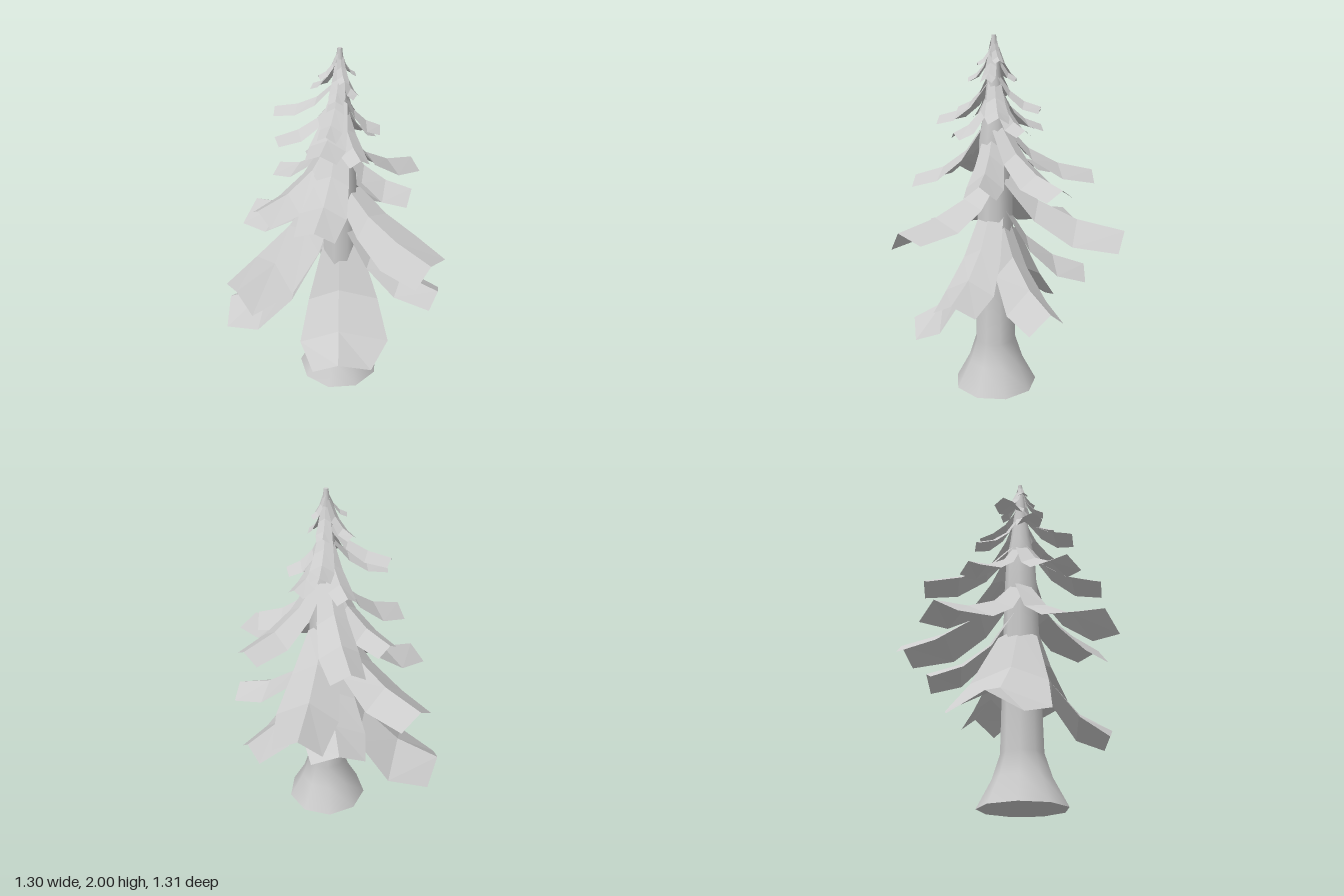
import * as THREE from 'three';

const CX = 0.035, CZ = 0.08; // trunk axis

const bark = new THREE.MeshStandardMaterial({ color: 0xcccccc });
const foliage = new THREE.MeshStandardMaterial({ color: 0xcccccc, flatShading: true, side: THREE.DoubleSide });

// Drooping bough: a ridged strip from the trunk at rootY to the ridge tip (x, y, z).
// Each side of the ridge has its own width and drop; belly widens the middle.
function bough(x, y, z, rootY, wA, wB = wA, dropA = wA * 0.6, dropB = wB * 0.6, belly = 1) {
  const dx = x - CX, dz = z - CZ, len = Math.hypot(dx, dz);
  const ux = dx / len, uz = dz / len;
  const steps = [ // along, height left to fall, width factor, edge set-back, belly
    [0.1, 1, 0.62, 0, 1],
    [0.34, 0.49, 0.93, 0, belly],
    [0.64, 0.17, 1.18, 0.05, belly],
    [1, 0, 1, 0.18, 1],
  ];
  const pos = [], idx = [];
  steps.forEach(([t, fall, wf, back, wide], i) => {
    const h = y + (rootY - y) * fall;
    for (const [w, drop] of [[-wA, dropA], [0, 0], [wB, dropB]]) {
      const r = t * len - Math.abs(w) * back, s = w * wf * wide;
      pos.push(CX + ux * r - uz * s, h - drop * wf, CZ + uz * r + ux * s);
    }
    if (i) {
      for (let k = 0; k < 2; k++) {
        const a = (i - 1) * 3 + k, b = a + 3;
        idx.push(a, a + 1, b, a + 1, b + 1, b);
      }
    }
  });
  const g = new THREE.BufferGeometry();
  g.setAttribute('position', new THREE.Float32BufferAttribute(pos, 3));
  g.setIndex(idx);
  g.computeVertexNormals();
  return new THREE.Mesh(g, foliage);
}

// Tip x, y, z, root height, half widths, edge drops, belly
const tiers = {
  lowestBoughs: [
    [-0.65, 0.40, 0.11, 0.98, 0.17, 0.19, 0.1, 0.08, 1.25],
    [0.15, 0.40, 0.54, 0.96, 0.18, 0.14, 0.06, 0.07, 1.3],
    [0.615, 0.70, 0.14, 1.07, 0.12, 0.11, 0.06, 0.06],
    [0.39, 0.61, -0.32, 1.05, 0.10, 0.12, 0.08, 0.10],
    [-0.17, 0.71, -0.40, 1.10, 0.15, 0.15, 0.07, 0.06],
  ],
  lowerBoughs: [
    [-0.02, 0.97, -0.64, 1.28, 0.12, 0.14, 0.09, 0.09, 1.1],
    [-0.37, 0.86, 0.62, 1.27, 0.11, 0.15, 0.1, 0.05, 1.1],
    [0.59, 1.05, 0.42, 1.26, 0.15, 0.09, 0.04, 0.11],
    [-0.56, 0.94, -0.20, 1.27, 0.15, 0.136, 0.1, 0.07],
  ],
  middleBoughs: [
    [0.03, 1.23, 0.55, 1.55, 0.10, 0.11, 0.05, 0.05],
    [0.42, 1.27, 0.05, 1.51, 0.085, 0.085, 0.07, 0.07],
    [-0.23, 1.26, -0.42, 1.54, 0.08, 0.10],
    [0.35, 1.26, -0.36, 1.54, 0.09],
    [-0.36, 1.26, -0.10, 1.54, 0.08],
    [-0.30, 1.24, 0.43, 1.54, 0.10],
  ],
  upperBoughs: [
    [0.02, 1.57, 0.40, 1.76, 0.08, 0.08, 0.04, 0.04],
    [-0.31, 1.67, 0.08, 1.82, 0.055],
    [-0.26, 1.57, 0.24, 1.74, 0.055],
    [0.23, 1.59, 0.00, 1.78, 0.055],
    [0.00, 1.63, -0.17, 1.80, 0.055],
    [-0.14, 1.52, -0.14, 1.74, 0.055],
    [0.15, 1.52, -0.12, 1.74, 0.055],
    [0.19, 1.50, 0.26, 1.72, 0.055],
    [0.02, 1.62, 0.29, 1.82, 0.05],
  ],
  crownBoughs: [
    [-0.12, 1.79, 0.02, 1.95, 0.035],
    [0.13, 1.78, 0.10, 1.94, 0.035],
    [0.05, 1.78, 0.22, 1.94, 0.035],
    [0.02, 1.78, -0.04, 1.94, 0.035],
    [-0.06, 1.87, 0.13, 1.98, 0.025],
    [0.10, 1.87, 0.03, 1.98, 0.025],
    [0.08, 1.86, 0.16, 1.97, 0.025],
  ],
};

export function createModel() {
  const tree = new THREE.Group();
  tree.name = 'firTree';

  // Trunk flaring at the foot and tapering to a point
  const sides = 9;
  const profile = [
    [0.24, 0], [0.16, 0.15], [0.118, 0.28], [0.108, 0.7], [0.098, 1.2],
    [0.086, 1.45], [0.06, 1.6], [0.036, 1.8], [0.012, 2],
  ].map(([r, y]) => new THREE.Vector2(r, y));
  const trunk = new THREE.Mesh(new THREE.LatheGeometry(profile, sides), bark);
  trunk.position.set(CX, 0, CZ);
  trunk.name = 'trunk';
  tree.add(trunk);

  // Flat underside and tip of the trunk
  for (const [name, r, y, dir] of [['trunkBase', 0.24, 0, 1], ['trunkTip', 0.012, 2, -1]]) {
    const cap = new THREE.Mesh(new THREE.CircleGeometry(r, sides, dir * Math.PI / 2), bark);
    cap.rotation.x = dir * Math.PI / 2;
    cap.position.set(CX, y, CZ);
    cap.name = name;
    tree.add(cap);
  }

  // Boughs, tier by tier
  for (const [name, list] of Object.entries(tiers)) {
    const tier = new THREE.Group();
    tier.name = name;
    for (const b of list) {
      const mesh = bough(...b);
      mesh.name = 'bough';
      tier.add(mesh);
    }
    tree.add(tier);
  }
  return tree;
}
